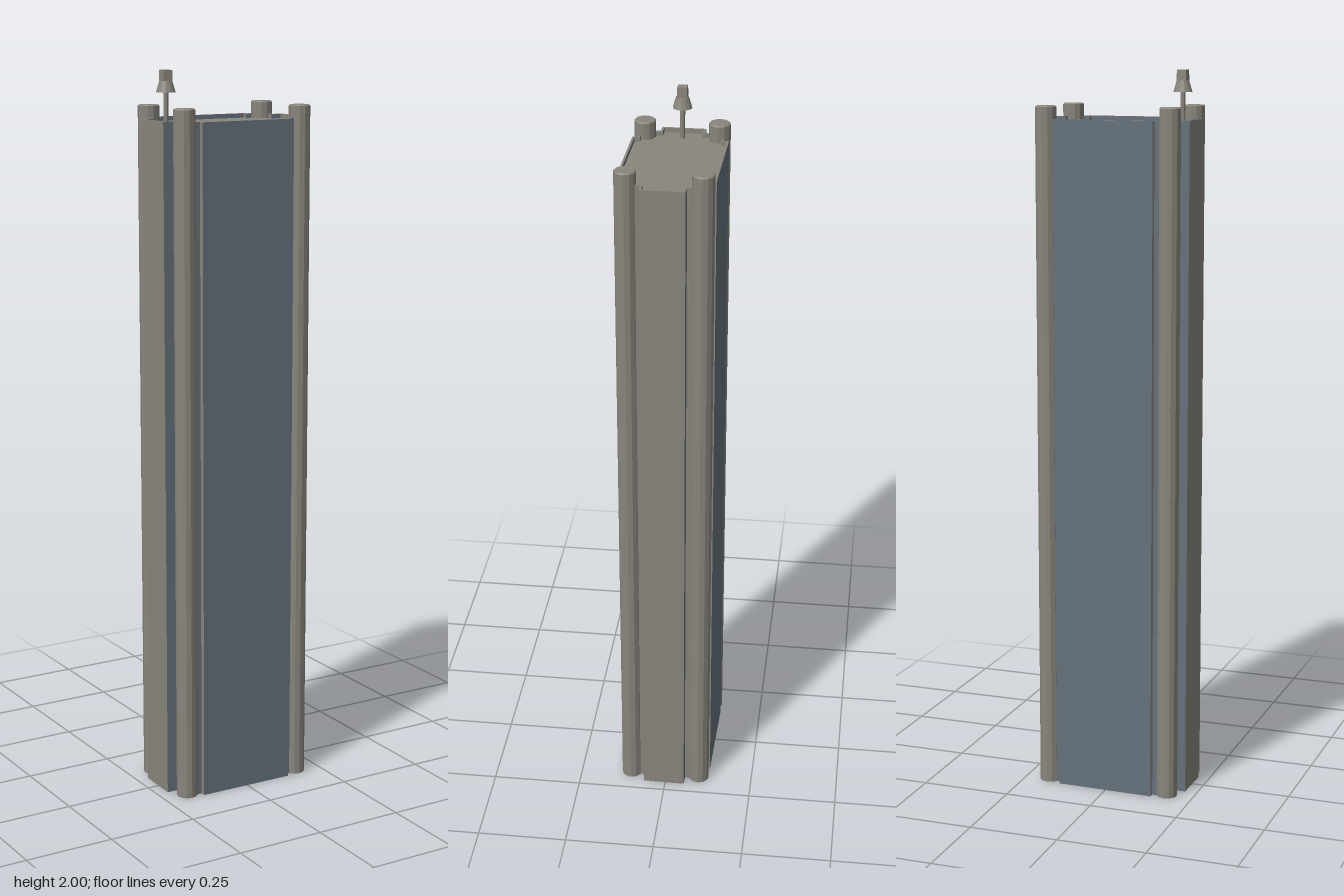
import * as THREE from 'three';

const stone = new THREE.MeshStandardMaterial({ color: 0x89857c, flatShading: true });
stone.name = 'stone';
const glass = new THREE.MeshStandardMaterial({ color: 0x64717b, flatShading: true });
glass.name = 'blue grey glass';

// Stepped tower plan, shrunk by an inset
function planPoints(inset) {
  const corner = [[0.217, 0.059], [0.188, 0.059], [0.188, 0.113], [0.138, 0.113], [0.138, 0.1275]]
    .map(([x, z]) => [x - inset, z - inset]);
  const flipped = [...corner].reverse();
  return [
    ...corner,
    ...flipped.map(([x, z]) => [-x, z]),
    ...corner.map(([x, z]) => [-x, -z]),
    ...flipped.map(([x, z]) => [x, -z]),
  ].map(([x, z]) => new THREE.Vector2(x, z));
}

// Upright extrusion whose front- and back-facing walls are glass
function wallMesh(name, shape, bottom, height) {
  const geo = new THREE.ExtrudeGeometry(shape, { depth: height, bevelEnabled: false });
  geo.rotateX(-Math.PI / 2);
  geo.translate(0, bottom, 0);
  geo.clearGroups();
  const normal = geo.attributes.normal;
  for (let i = 0; i < normal.count; i += 3) {
    geo.addGroup(i, 3, Math.abs(normal.getZ(i)) > 0.9 ? 1 : 0);
  }
  const mesh = new THREE.Mesh(geo, [stone, glass]);
  mesh.name = name;
  return mesh;
}

function cylinder(name, top, bottom, y0, y1, sides, turn = 0) {
  const geo = new THREE.CylinderGeometry(top, bottom, y1 - y0, sides);
  geo.rotateY(turn);
  geo.translate(0, (y0 + y1) / 2, 0);
  const mesh = new THREE.Mesh(geo, stone);
  mesh.name = name;
  return mesh;
}

export function createModel() {
  const model = new THREE.Group();
  model.name = 'tower';
  const roofY = 1.858;

  // Main block, with a thin raised rim around the roof
  model.add(wallMesh('towerBody', new THREE.Shape(planPoints(0)), 0, roofY));
  const rim = new THREE.Shape(planPoints(0));
  rim.holes.push(new THREE.Path(planPoints(0.006)));
  model.add(wallMesh('roofRim', rim, roofY, 0.012));

  // Round corner columns with a slightly chamfered top
  for (const sx of [-1, 1]) {
    for (const sz of [-1, 1]) {
      const column = new THREE.Group();
      column.name = 'cornerColumn';
      column.position.set(sx * 0.1765, 0, sz * 0.099);
      column.add(cylinder('columnShaft', 0.029, 0.029, 0, 1.902, 12));
      column.add(cylinder('columnTop', 0.026, 0.029, 1.902, 1.905, 12));
      model.add(column);
    }
  }

  // Roof mast with a flared head and a square tip
  const mast = new THREE.Group();
  mast.name = 'roofMast';
  mast.position.set(-0.177, 0, 0);
  mast.add(cylinder('mastPole', 0.007, 0.007, roofY, 1.945, 8));
  mast.add(cylinder('mastHead', 0.017, 0.026, 1.942, 1.972, 12));
  mast.add(cylinder('mastTip', 0.018, 0.019, 1.972, 2.0, 4, Math.PI / 4));
  model.add(mast);

  // The whole tower stands very slightly turned
  model.rotation.y = -0.018;
  const root = new THREE.Group();
  root.name = 'towerModel';
  root.add(model);
  return root;
}
